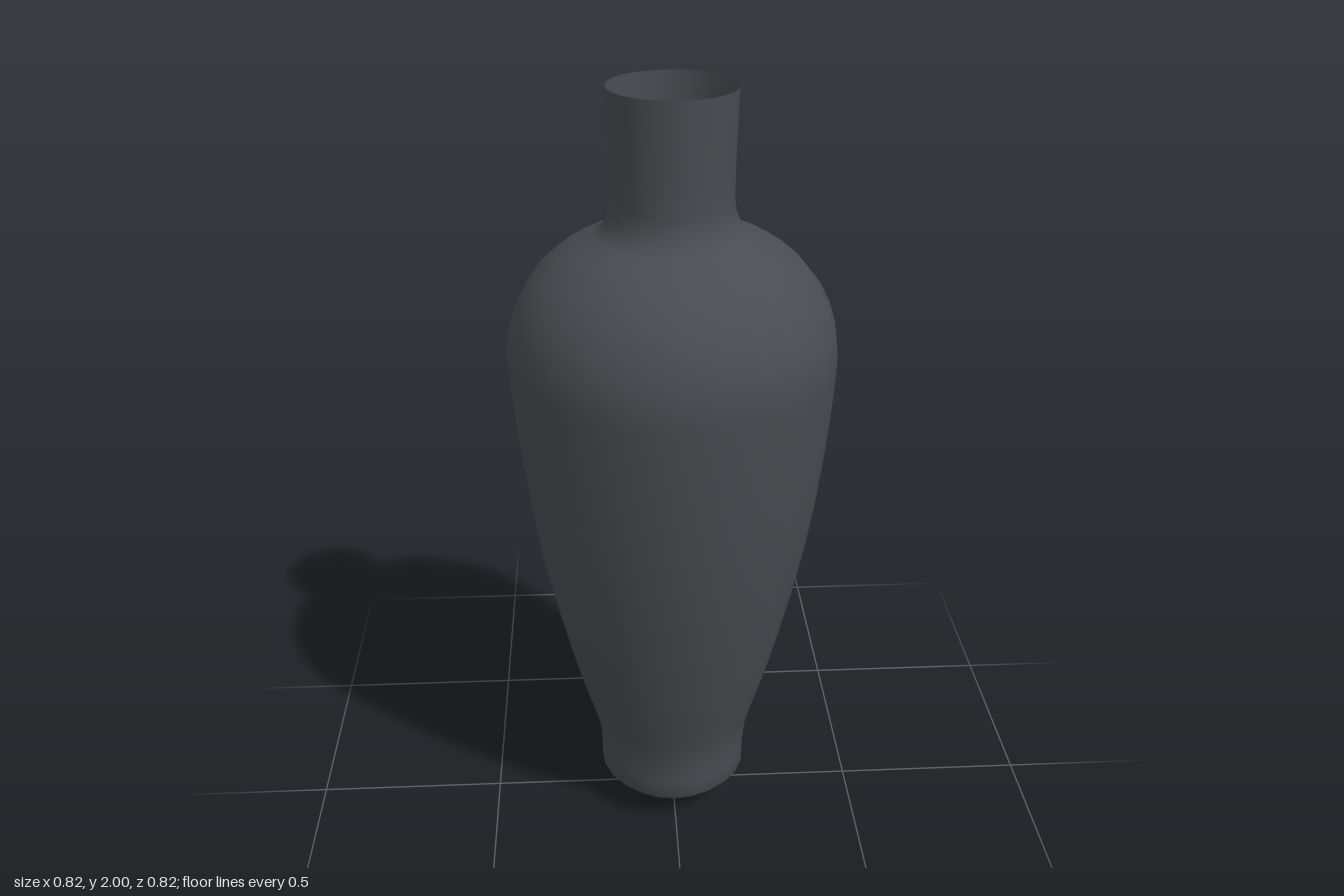
import * as THREE from 'three';

const SIDES = 24;

export function createModel() {
  const model = new THREE.Group();
  model.name = 'vase';
  const glaze = new THREE.MeshStandardMaterial({ color: 0x484c50, side: THREE.DoubleSide });
  glaze.name = 'charcoal glaze';

  const profile = [];
  // Rounded base: a circular cap 0.2 in radius and 0.1 tall
  const capRadius = 0.25, capAngle = Math.asin(0.2 / capRadius);
  for (let i = 0; i <= 8; i++) {
    const a = (capAngle * i) / 8;
    profile.push(new THREE.Vector2(capRadius * Math.sin(a), capRadius * (1 - Math.cos(a))));
  }
  // Foot, belly, shoulder and open neck
  const wall = [
    [0.2, 0.15], [0.202, 0.19], [0.208, 0.24], [0.22, 0.285], [0.254, 0.4], [0.285, 0.52],
    [0.322, 0.68], [0.35, 0.82], [0.372, 0.96], [0.389, 1.1], [0.4, 1.22], [0.407, 1.32],
    [0.408, 1.37], [0.401, 1.42], [0.385, 1.47], [0.36, 1.52], [0.325, 1.565], [0.28, 1.605],
    [0.235, 1.632], [0.192, 1.65], [0.176, 1.662], [0.162, 1.68], [0.152, 1.705],
    [0.148, 1.735], [0.149, 1.83], [0.152, 1.92], [0.155, 2],
  ];
  for (const [r, y] of wall) profile.push(new THREE.Vector2(r, y));

  const body = new THREE.Mesh(new THREE.LatheGeometry(profile, SIDES), glaze);
  body.name = 'vaseBody';
  model.add(body);
  return model;
}
